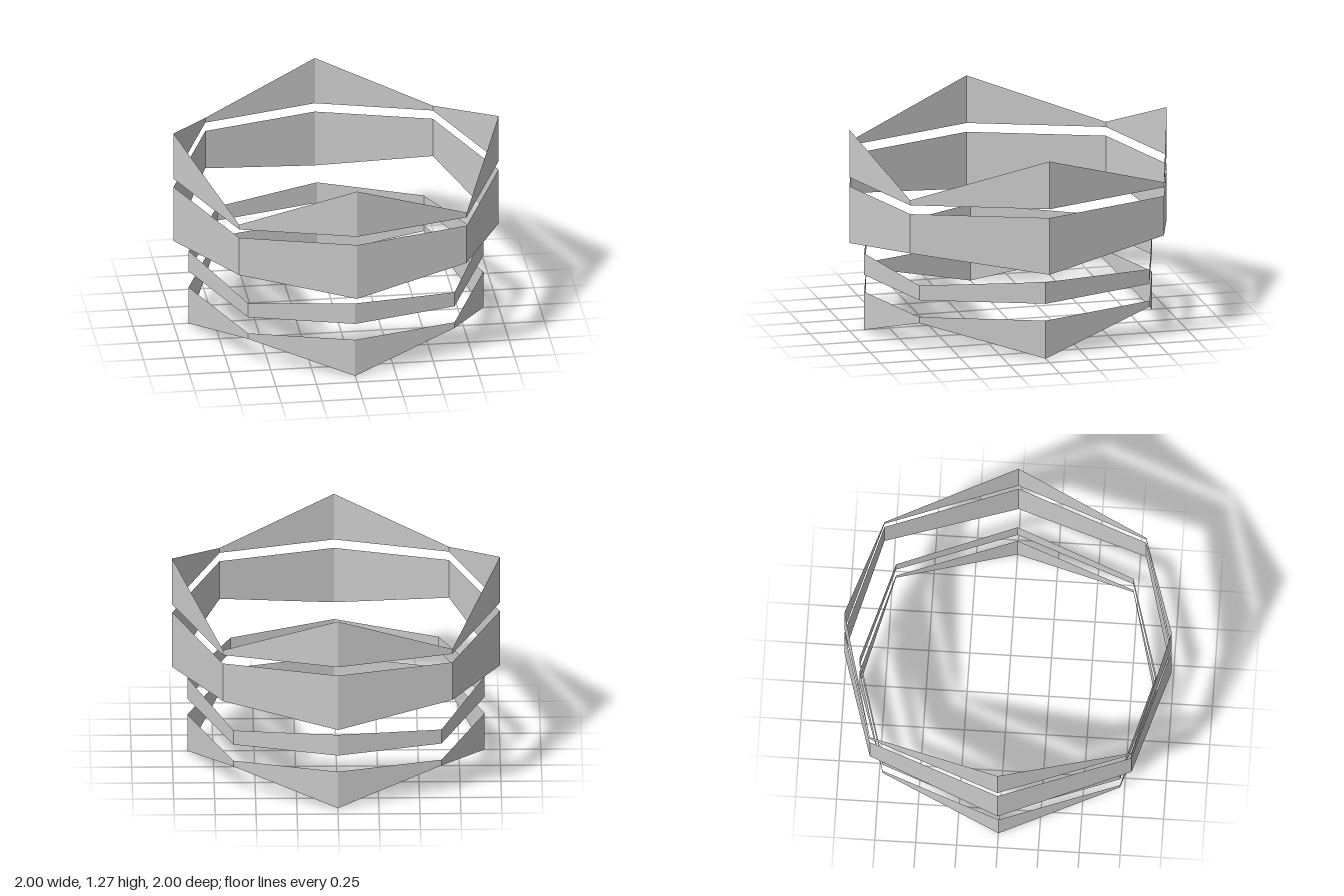
import * as THREE from 'three';

// Eight corners per ring: four on the axes, four on the flattened diagonals
const CORNERS = [[0, 1], [0.7, 0.8], [1, 0], [0.7, -0.8], [0, -1], [-0.7, -0.8], [-1, 0], [-0.7, 0.8]];

// Thin vertical band; each edge is given as [height at axis corners, height at diagonal corners]
function band(name, scale, bottom, top, material) {
  const positions = [];
  const index = [];
  CORNERS.forEach(([x, z], i) => {
    positions.push(x * scale, bottom[i % 2], z * scale, x * scale, top[i % 2], z * scale);
    const a = i * 2;
    const b = ((i + 1) % CORNERS.length) * 2;
    index.push(a, b, b + 1, a, b + 1, a + 1);
  });
  const indexed = new THREE.BufferGeometry();
  indexed.setAttribute('position', new THREE.Float32BufferAttribute(positions, 3));
  indexed.setIndex(index);
  const geometry = indexed.toNonIndexed();
  geometry.computeVertexNormals();
  const mesh = new THREE.Mesh(geometry, material);
  mesh.name = name;
  return mesh;
}

export function createModel() {
  const model = new THREE.Group();
  model.name = 'bandedRings';
  const material = new THREE.MeshStandardMaterial({
    color: 0xcccccc, flatShading: true, side: THREE.DoubleSide,
  });
  model.add(
    // Wide upper pair: pointed crown and the broad band below it
    band('crownBand', 1, [0.973, 0.973], [1.275, 1.005], material),
    band('broadBand', 1, [0.557, 0.668], [0.917, 0.917], material),
    // Narrower lower pair: slim band and pointed base
    band('slimBand', 0.907, [0.348, 0.348], [0.485, 0.441], material),
    band('baseBand', 0.907, [0, 0.203], [0.241, 0.241], material),
  );
  return model;
}
